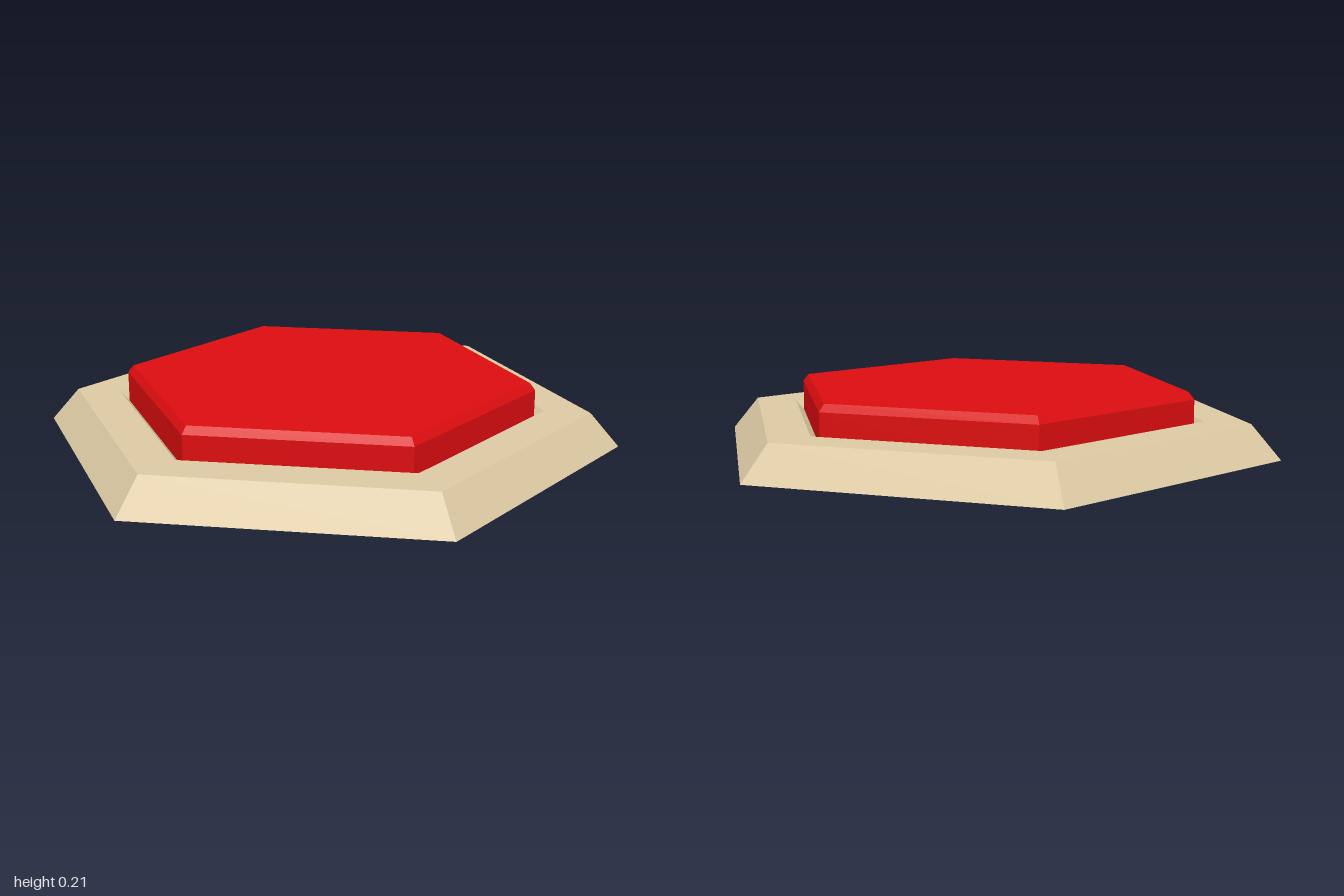
import * as THREE from 'three';

// Six-sided shell swept from a [radius, height] profile, corners on the x axis
function hexShell(name, profile, color) {
  const points = profile.map(([r, y]) => new THREE.Vector2(r, y));
  const geometry = new THREE.LatheGeometry(points, 6, Math.PI / 2).toNonIndexed();
  geometry.computeVertexNormals();
  const material = new THREE.MeshStandardMaterial({ color, flatShading: true, side: THREE.DoubleSide });
  const mesh = new THREE.Mesh(geometry, material);
  mesh.name = name;
  return mesh;
}

export function createModel() {
  const group = new THREE.Group();
  group.name = 'hexagonalButton';

  // Hollow base: sloped skirt, flat rim, sloped recess and recess floor
  group.add(hexShell('base', [
    [1, 0], [0.9, 0.115], [0.745, 0.115], [0.68, 0.048], [0, 0.048],
  ], 0xdcc9a3));

  // Button cap with a bevelled top edge, open underneath and set into the recess
  group.add(hexShell('buttonCap', [
    [0.712, 0.044], [0.712, 0.187], [0.692, 0.212], [0, 0.212],
  ], 0xdb0d0f));

  return group;
}
